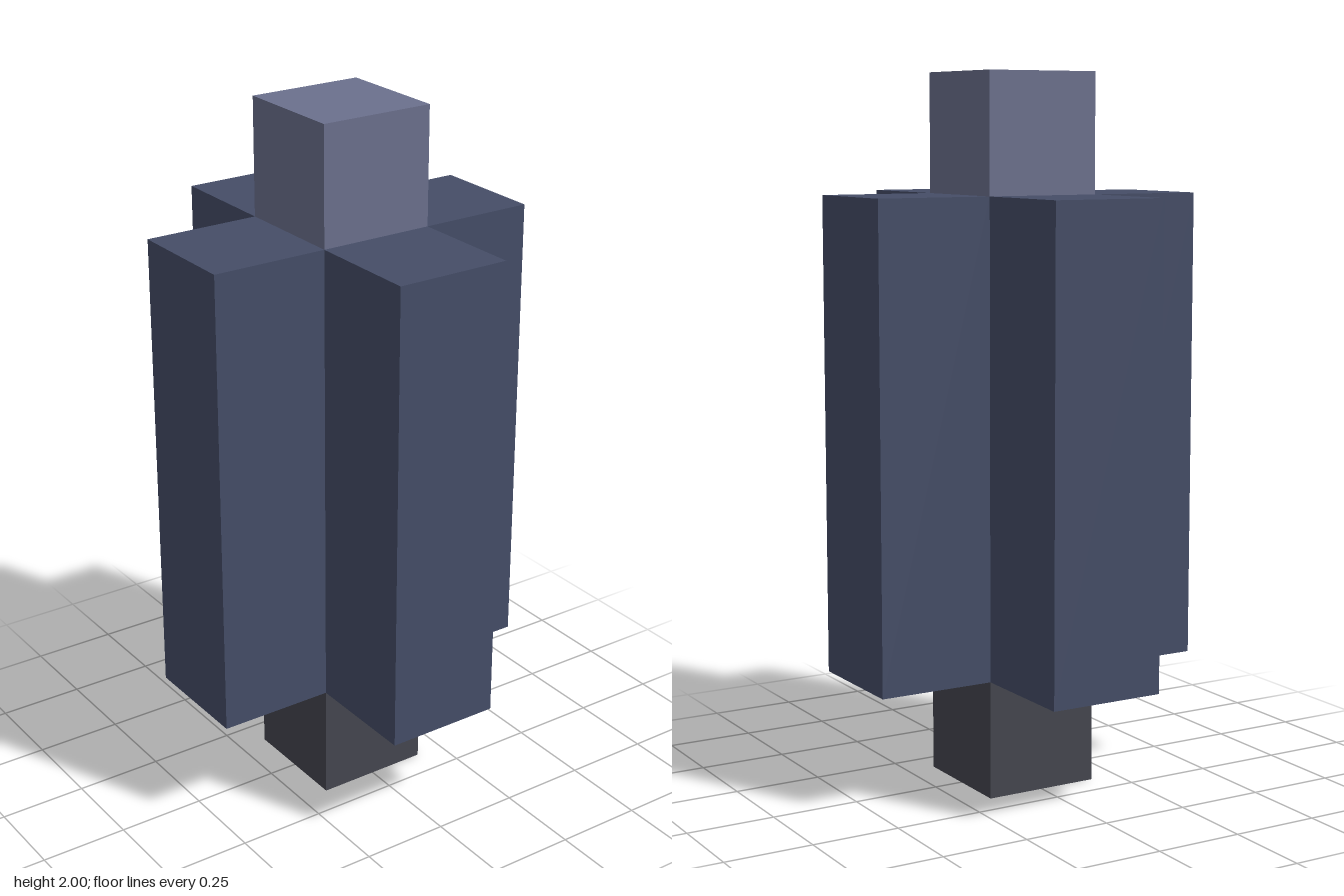
import * as THREE from 'three';

const U = 1 / 3; // width of every block

export function createModel() {
  const group = new THREE.Group();

  function block(name, height, color, x, y, z) {
    const mesh = new THREE.Mesh(
      new THREE.BoxGeometry(U, height, U),
      new THREE.MeshStandardMaterial({ color, flatShading: true })
    );
    mesh.name = name;
    mesh.position.set(x, y, z);
    group.add(mesh);
  }

  // Stub at the bottom and cap on top
  block('base', U, 0x45464f, 0, U / 2, 0);
  block('cap', U, 0x6b708d, 0, 2 - U / 2, 0);

  // Four tall arms forming a plus-shaped body
  const arms = [
    ['leftArm', 1, 0],
    ['rightArm', -1, 0],
    ['frontArm', 0, 1],
    ['backArm', 0, -1],
  ];
  for (const [name, x, z] of arms) block(name, 4 * U, 0x454d67, x * U, 1, z * U);

  return group;
}
